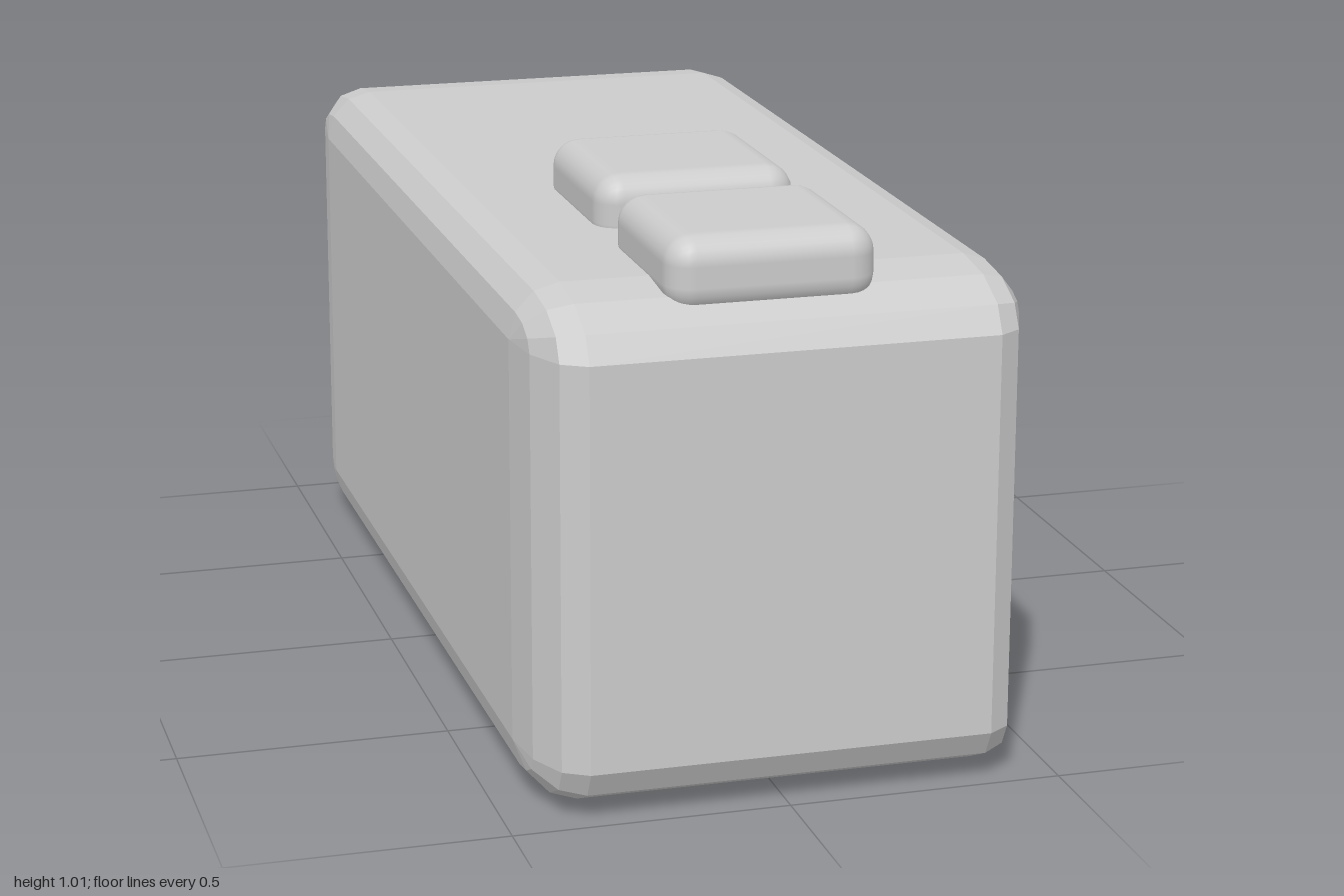
import * as THREE from 'three';
import { RoundedBoxGeometry } from 'three/addons/geometries/RoundedBoxGeometry.js';

// Rounded rectangle in the zy plane: core half sizes hz, hy plus corner radii rz, ry
function section({ x, y = 0.46, z = 0, hz, hy, rz, ry }, seg) {
  const pts = [];
  for (let q = 0; q < 4; q++) {
    const sz = q === 0 || q === 3 ? 1 : -1, sy = q < 2 ? 1 : -1;
    for (let i = 0; i <= seg; i++) {
      const a = (q + i / seg) * Math.PI / 2;
      pts.push([x, y + sy * hy + ry * Math.sin(a), z + sz * hz + rz * Math.cos(a)]);
    }
  }
  return pts;
}

// Skin a row of sections running towards +x and close both ends
function loft(sections, seg) {
  const loops = sections.map(s => section(s, seg));
  const n = loops[0].length, pos = [];
  const tri = (...p) => p.forEach(v => pos.push(...v));
  const centre = s => [s.x, s.y ?? 0.46, s.z ?? 0];
  const last = loops.length - 1;
  for (let j = 0; j < n; j++) {
    const k = (j + 1) % n;
    for (let i = 0; i < last; i++) {
      const a = loops[i], b = loops[i + 1];
      tri(a[j], b[j], b[k]);
      tri(a[j], b[k], a[k]);
    }
    tri(centre(sections[0]), loops[0][j], loops[0][k]);
    tri(centre(sections[last]), loops[last][k], loops[last][j]);
  }
  const g = new THREE.BufferGeometry();
  g.setAttribute('position', new THREE.Float32BufferAttribute(pos, 3));
  g.computeVertexNormals();
  return g;
}

export function createModel() {
  const group = new THREE.Group();
  const grey = new THREE.MeshStandardMaterial({ color: 0xcccccc, flatShading: true });
  const smoothGrey = new THREE.MeshStandardMaterial({ color: 0xcccccc });
  const pink = new THREE.MeshStandardMaterial({ color: 0xffebeb, flatShading: true });
  const add = (name, geometry, material) => {
    const mesh = new THREE.Mesh(geometry, material);
    mesh.name = name;
    group.add(mesh);
    return mesh;
  };

  // Body: faceted rounded block, its left side ending in a rim around a recess
  const core = { hz: 0.8, hy: 0.365 };
  const bevel = (x, f) => ({ x, ...core, rz: 0.2 * f, ry: 0.095 * f });
  add('body', loft([
    bevel(-0.45, 0), bevel(-0.438, 0.5), bevel(-0.405, 0.866), bevel(-0.36, 1),
    bevel(0.37, 1), bevel(0.41, 0.866),
    { x: 0.45, ...core, rz: 0.07, ry: 0.035 },
    { x: 0.44, hz: 0.75, hy: 0.33, rz: 0.05, ry: 0.035 },
    { x: 0.35, z: -0.03, hz: 0.76, hy: 0.332, rz: 0, ry: 0 },
  ], 3), grey);

  // Screen panel set inside the recess
  const panel = (x, inset) => ({
    x, y: 0.455, z: -0.05, hz: 0.63, hy: 0.225, rz: 0.1 - inset, ry: 0.05 - inset,
  });
  add('screen', loft([
    panel(0.34, 0), panel(0.4, 0), panel(0.414, 0.006), panel(0.42, 0.02),
  ], 6), pink);

  // Two square buttons on top
  [['frontButton', 0.745], ['rearButton', 0.285]].forEach(([name, z]) => {
    add(name, new RoundedBoxGeometry(0.375, 0.137, 0.375, 3, 0.05), smoothGrey)
      .position.set(-0.015, 0.944, z);
  });

  return group;
}
